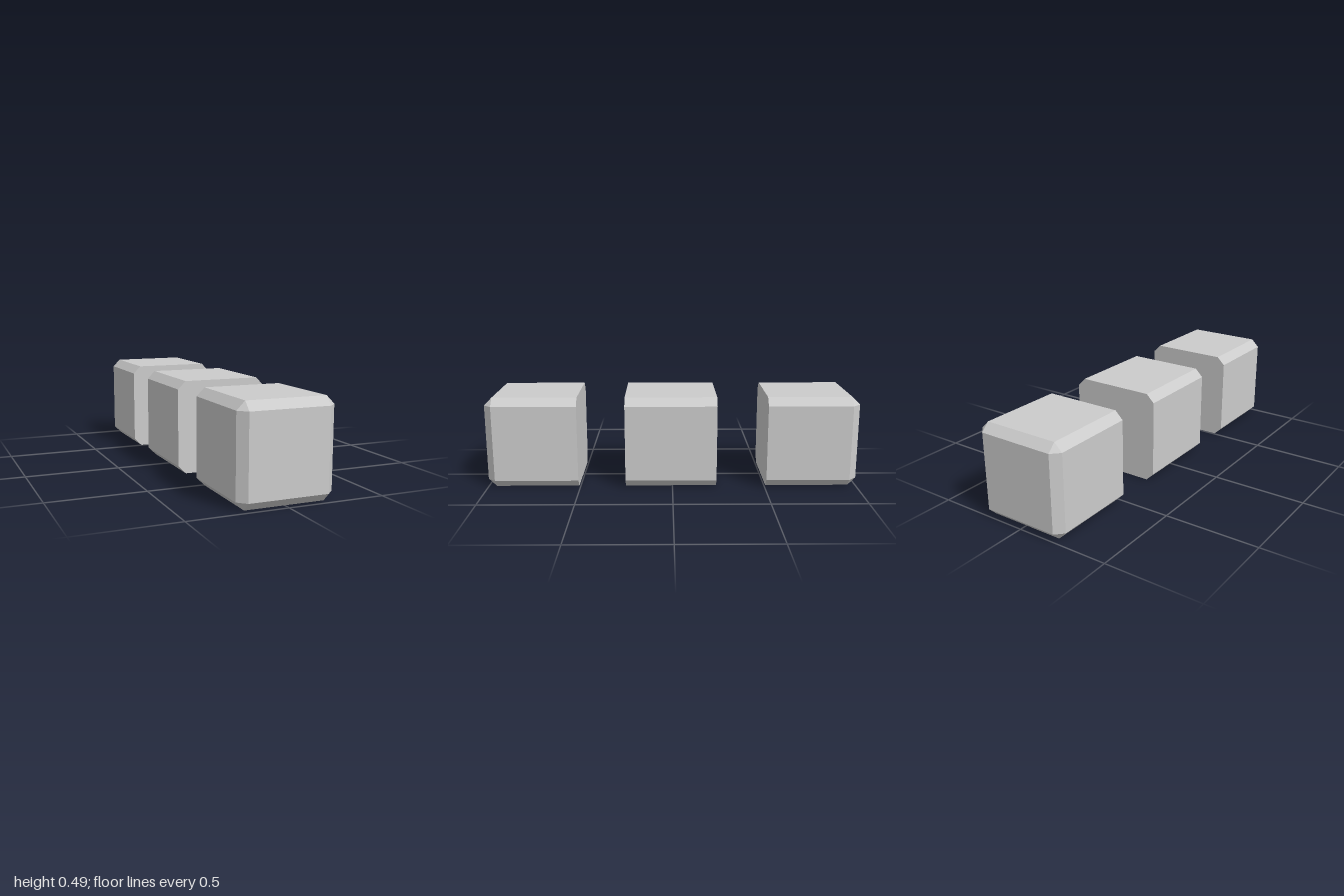
import * as THREE from 'three';
import { ConvexGeometry } from 'three/addons/geometries/ConvexGeometry.js';

const HALF = 0.246; // half width and half height of a block
const BEVEL = 0.042;
const INNER = HALF - BEVEL;

// Square section with cut corners at depth z
function octagon(z) {
  const points = [];
  for (const a of [-1, 1]) for (const b of [-1, 1]) {
    points.push(new THREE.Vector3(a * HALF, b * INNER, z), new THREE.Vector3(a * INNER, b * HALF, z));
  }
  return points;
}

// Smaller square that closes a bevelled end
function square(z) {
  const points = [];
  for (const a of [-1, 1]) for (const b of [-1, 1]) points.push(new THREE.Vector3(a * INNER, b * INNER, z));
  return points;
}

function block(name, z, bevelFront, bevelBack, material) {
  const end = (side, bevelled) => bevelled
    ? [...octagon(side * INNER), ...square(side * HALF)]
    : octagon(side * HALF);
  const geometry = new ConvexGeometry([...end(1, bevelFront), ...end(-1, bevelBack)]);
  const mesh = new THREE.Mesh(geometry, material);
  mesh.name = name;
  mesh.position.set(0, HALF, z);
  return mesh;
}

export function createModel() {
  const group = new THREE.Group();
  group.name = 'blockRow';
  const material = new THREE.MeshStandardMaterial({ color: 0xcccccc, flatShading: true });

  // Outer blocks are bevelled on their outward ends, the middle one has flat ends
  group.add(
    block('frontBlock', 1 - HALF, true, false, material),
    block('middleBlock', 0.008, false, false, material),
    block('backBlock', HALF - 1, false, true, material),
  );
  return group;
}
